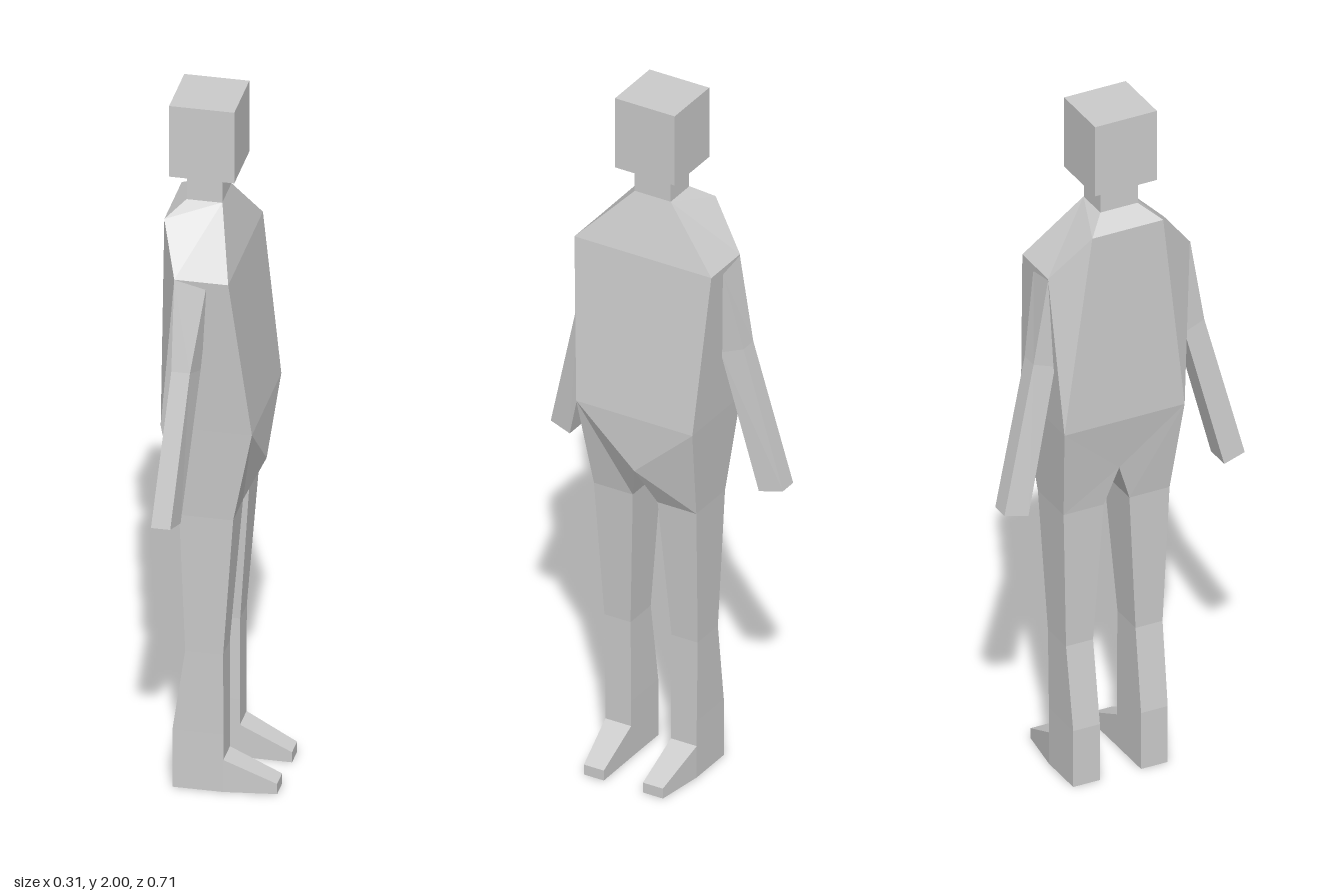
import * as THREE from 'three';

const material = new THREE.MeshStandardMaterial({ color: 0xcccccc, flatShading: true });

// Faceted mesh from corner points and polygon faces (fan split)
function polyMesh(name, points, faces) {
  const pos = [];
  for (const f of faces)
    for (let i = 1; i < f.length - 1; i++)
      pos.push(...points[f[0]], ...points[f[i]], ...points[f[i + 1]]);
  const g = new THREE.BufferGeometry();
  g.setAttribute('position', new THREE.Float32BufferAttribute(pos, 3));
  g.computeVertexNormals();
  const mesh = new THREE.Mesh(g, material);
  mesh.name = name;
  return mesh;
}

// Capped limb through four-cornered rings, listed from top to bottom;
// side -1 mirrors it across z = centre
function limb(name, rings, side, centre) {
  const points = rings.flat().map(([x, y, z]) => [x, y, centre + side * z]);
  const last = (rings.length - 1) * 4;
  const faces = [[0, 1, 2, 3], [last + 3, last + 2, last + 1, last]];
  for (let r = 0; r < last; r += 4)
    for (let i = 0; i < 4; i++) {
      const j = (i + 1) % 4;
      faces.push([r + i, r + 4 + i, r + 4 + j, r + j]);
    }
  return polyMesh(name, points, side > 0 ? faces : faces.map(f => [...f].reverse()));
}

// Ring of a leg: level, back and front x, inner and outer z
const legRing = (y, xb, xf, zi, zo) => [[xb, y, zo], [xf, y, zo], [xf, y, zi], [xb, y, zi]];

function box(name, size, centre) {
  const mesh = new THREE.Mesh(new THREE.BoxGeometry(...size), material);
  mesh.position.set(...centre);
  mesh.name = name;
  return mesh;
}

function torso() {
  const half = [
    [-0.01, 1.71, 0.055], [-0.105, 1.71, 0.055],                      // 0-1 neck base
    [-0.155, 1.67, 0.105], [-0.105, 1.55, 0.21], [0.04, 1.55, 0.21],  // 2-4 shoulder
    [0.095, 1.09, 0.178], [-0.15, 1.09, 0.178],                       // 5-6 waist
    [0.04, 0.82, 0.157], [-0.105, 0.82, 0.157],                       // 7-8 outer hip
    [0.04, 0.82, 0.038], [-0.105, 0.82, 0.038],                       // 9-10 inner hip
    [0.095, 0.93, 0], [-0.12, 0.93, 0],                               // 11-12 crotch
  ];
  const M = half.length;
  const shift = y => (y > 1.3 ? -0.003 : -0.01);
  const points = [1, -1].flatMap(s => half.map(([x, y, z]) => [x, y, shift(y) + s * z]));
  const sideFaces = [
    [0, 1, 2], [0, 2, 3], [0, 3, 4], [4, 3, 6, 5], [3, 2, 6],
    [5, 6, 8, 7], [5, 7, 9, 11], [9, 10, 12, 11], [6, 12, 10, 8],
  ];
  const faces = [
    ...sideFaces,
    ...sideFaces.map(f => f.map(i => i + M).reverse()),
    // chest and belly
    [M, 0, 4, M + 4], [M + 4, 4, 5, M + 5], [M + 5, 5, 11],
    // back
    [1, M + 1, M + 2, 2], [2, M + 2, M + 6, 6], [6, M + 6, 12],
  ];
  return polyMesh('torso', points, faces);
}

export function createModel() {
  const figure = new THREE.Group();
  figure.name = 'figure';
  figure.add(
    box('head', [0.175, 0.21, 0.183], [-0.0575, 1.895, -0.003]),
    box('neck', [0.095, 0.1, 0.11], [-0.0575, 1.75, -0.002]),
    torso(),
  );

  const armRings = [
    [[-0.105, 1.55, 0.21], [-0.02, 1.53, 0.21], [-0.02, 1.47, 0.19], [-0.105, 1.45, 0.17]],
    [[-0.103, 1.3, 0.253], [-0.053, 1.3, 0.253], [-0.038, 1.28, 0.192], [-0.108, 1.28, 0.192]],
    [[-0.135, 0.885, 0.356], [-0.083, 0.885, 0.356], [-0.07, 0.872, 0.29], [-0.145, 0.872, 0.29]],
  ];
  const legRings = [
    legRing(0.82, -0.105, 0.04, 0.038, 0.157),
    legRing(0.41, -0.092, 0.01, 0.063, 0.143),
    legRing(0.17, -0.127, 0.01, 0.061, 0.14),
    legRing(0, -0.127, 0.01, 0.061, 0.14),
  ];
  const footRings = [
    [[0.01, 0.095, 0.14], [0.15, 0.03, 0.121], [0.15, 0.03, 0.06], [0.01, 0.095, 0.061]],
    [[0.01, 0, 0.14], [0.15, 0, 0.121], [0.15, 0, 0.06], [0.01, 0, 0.061]],
  ];
  for (const side of [1, -1]) {
    figure.add(
      limb('arm', armRings, side, -0.002),
      limb('leg', legRings, side, -0.01),
      limb('foot', footRings, side, -0.01),
    );
  }
  return figure;
}
